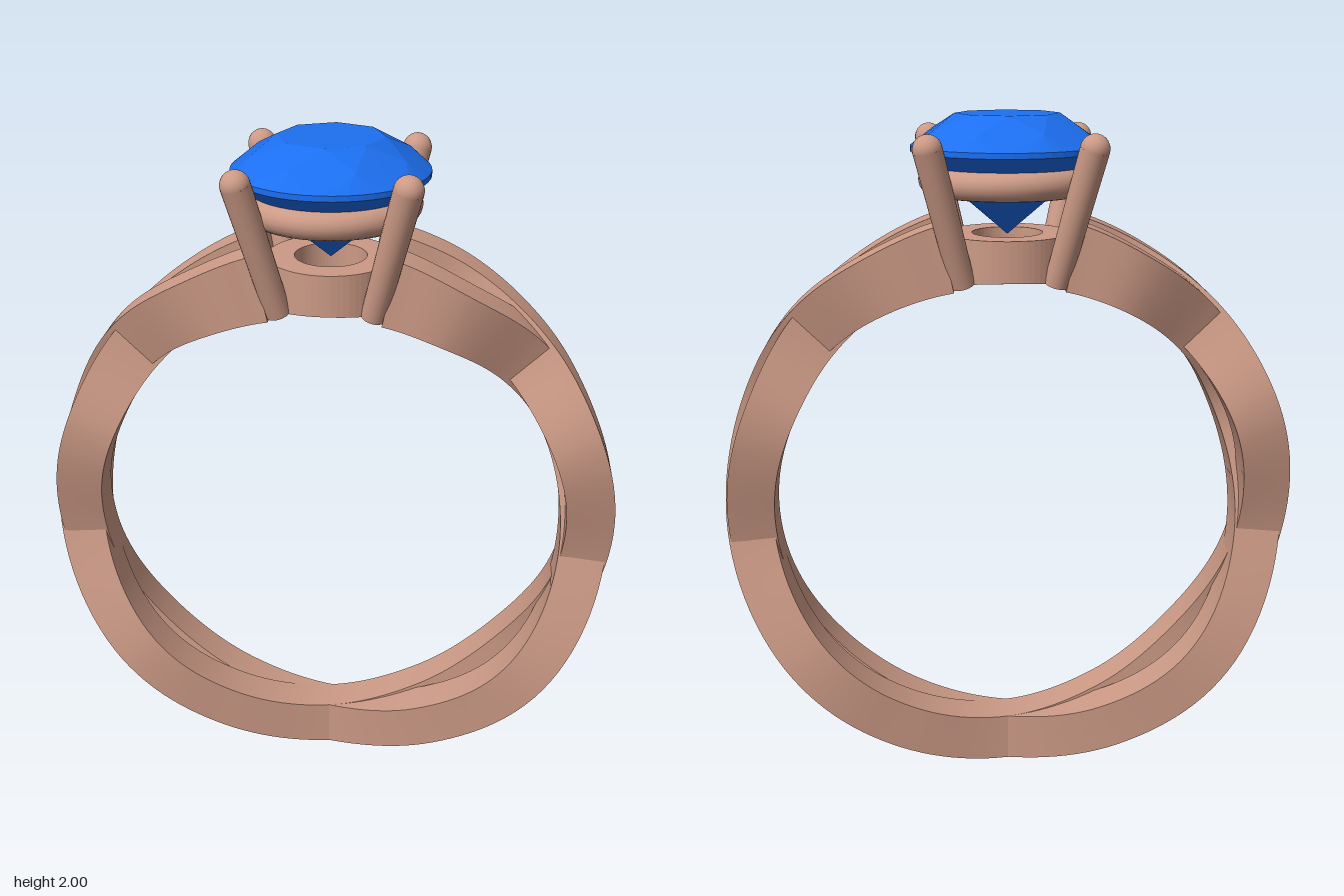
import * as THREE from 'three';
import { ConvexGeometry } from 'three/addons/geometries/ConvexGeometry.js';

const CY = 0.84; // centre height of the band
const FINGER = 0.72; // radius of the finger opening under the setting

// Half of one strand: [degrees from top, z, radial weave, inner radius, outer radius]
const HALF = [
  [12.5, -0.108, 0, 0.71, 0.897],
  [27, -0.1, 0.004, 0.715, 0.878],
  [45, 0, 0.007, 0.712, 0.868],
  [66, 0.083, 0.012, 0.702, 0.842],
  [95, 0, 0.003, 0.696, 0.835],
  [127, -0.083, -0.01, 0.692, 0.834],
  [155, -0.056, -0.006, 0.69, 0.838],
  [180, 0, 0, 0.69, 0.84],
];

// A box bent around the finger while it weaves from side to side
function strandGeometry(side) {
  const mirrored = HALF.slice(0, -1).reverse()
    .map(([t, z, w, a, b]) => [360 - t, -z, w, a, b]);
  const rows = [...HALF, ...mirrored];
  const path = new THREE.CatmullRomCurve3(rows.map(([t, z, w]) =>
    new THREE.Vector3(THREE.MathUtils.degToRad(t), z * side, w * side)), false, 'catmullrom');
  const radii = new THREE.CatmullRomCurve3(rows.map(([, , , a, b]) =>
    new THREE.Vector3(a, b, 0)), false, 'catmullrom');
  const geo = new THREE.BoxGeometry(1, 1, 1, 1, 1, 160);
  const pos = geo.attributes.position;
  for (let i = 0; i < pos.count; i++) {
    const u = THREE.MathUtils.clamp(pos.getZ(i) + 0.5, 0, 1);
    const p = path.getPoint(u);
    const r = radii.getPoint(u);
    const radius = (pos.getX(i) > 0 ? r.y : r.x) + p.z;
    pos.setXYZ(i, Math.sin(p.x) * radius, CY + Math.cos(p.x) * radius,
      p.y + pos.getY(i) * 0.108);
  }
  geo.computeVertexNormals();
  return geo;
}

// Thick ring whose underside follows the finger opening
function collarGeometry() {
  const shape = new THREE.Shape().absarc(0, 0, 0.175, 0, Math.PI * 2);
  shape.holes.push(new THREE.Path().absarc(0, 0, 0.1, 0, Math.PI * 2, true));
  const geo = new THREE.ExtrudeGeometry(shape, { depth: 1, bevelEnabled: false, curveSegments: 32 });
  geo.rotateX(-Math.PI / 2);
  const pos = geo.attributes.position;
  for (let i = 0; i < pos.count; i++) {
    const x = pos.getX(i);
    pos.setY(i, pos.getY(i) > 0.5 ? 1.675 : CY + Math.sqrt(FINGER * FINGER - x * x));
  }
  geo.computeVertexNormals();
  return geo;
}

// Round brilliant cut as the hull of its facet rings
function gemGeometry() {
  const points = [new THREE.Vector3(0, 1.67, 0)];
  const ring = (n, radius, y, turn = 0) => {
    for (let i = 0; i < n; i++) {
      const a = ((i + turn) / n) * Math.PI * 2;
      points.push(new THREE.Vector3(Math.cos(a) * radius, y, Math.sin(a) * radius));
    }
  };
  ring(8, 0.145, 2.0);
  ring(8, 0.222, 1.957, 0.5);
  ring(48, 0.268, 1.915);
  ring(48, 0.268, 1.9);
  ring(8, 0.1, 1.755, 0.5);
  return new ConvexGeometry(points);
}

export function createModel() {
  const model = new THREE.Group();
  model.name = 'ring';
  const metal = new THREE.MeshStandardMaterial({ color: 0xcc9a86 });
  const blue = new THREE.MeshStandardMaterial({ color: 0x1c6ff0, flatShading: true });

  const add = (name, geometry, material = metal, parent = model) => {
    const mesh = new THREE.Mesh(geometry, material);
    mesh.name = name;
    parent.add(mesh);
    return mesh;
  };

  // Two interwoven band strands
  add('bandStrandA', strandGeometry(1));
  add('bandStrandB', strandGeometry(-1));

  // Setting: collar below, seat ring under the gem
  add('collar', collarGeometry());
  const seat = add('seatRing', new THREE.TorusGeometry(0.208, 0.04, 16, 64));
  seat.rotation.x = Math.PI / 2;
  seat.position.y = 1.823;

  // Four splayed prongs with rounded tips
  for (const sx of [1, -1]) {
    for (const sz of [1, -1]) {
      const prong = new THREE.Group();
      prong.name = 'prong';
      const foot = new THREE.Vector3(sx * 0.13, 1.55, sz * 0.13);
      const tip = new THREE.Vector3(sx * 0.218, 1.92, sz * 0.218);
      const dir = tip.clone().sub(foot);
      const shaft = add('prongShaft',
        new THREE.CylinderGeometry(0.04, 0.036, dir.length(), 24), metal, prong);
      shaft.position.copy(foot).add(tip).multiplyScalar(0.5);
      shaft.quaternion.setFromUnitVectors(new THREE.Vector3(0, 1, 0), dir.normalize());
      add('prongTip', new THREE.SphereGeometry(0.04, 24, 16), metal, prong).position.copy(tip);
      model.add(prong);
    }
  }

  add('gem', gemGeometry(), blue);
  return model;
}
